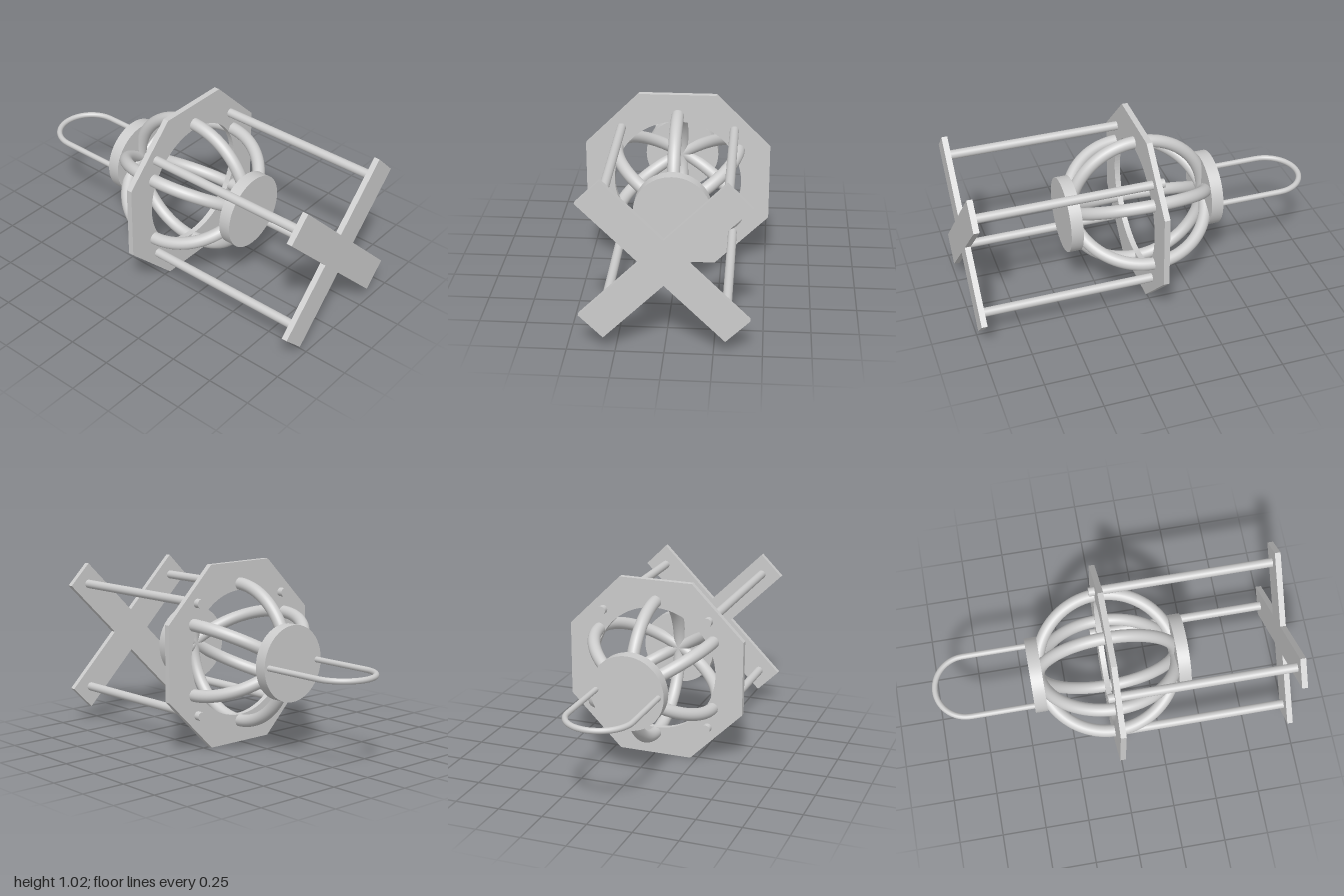
import * as THREE from 'three';

export function createModel() {
  const root = new THREE.Group();
  root.position.y = 0.512;
  const model = new THREE.Group();
  model.add(root);
  const mat = new THREE.MeshStandardMaterial({ color: 0xcccccc });
  const MID = -0.01; // z of the cage centre

  const add = (name, geometry, x = 0, y = 0, z = 0) => {
    const mesh = new THREE.Mesh(geometry, mat);
    mesh.name = name;
    mesh.position.set(x, y, z);
    root.add(mesh);
    return mesh;
  };
  // cylinder lying along z between two depths
  const cylinderZ = (name, r, z0, z1, x = 0, y = 0) =>
    add(name, new THREE.CylinderGeometry(r, r, z1 - z0, 48).rotateX(Math.PI / 2), x, y, (z0 + z1) / 2);
  const extrude = (shape, depth) =>
    new THREE.ExtrudeGeometry(shape, { depth, bevelEnabled: false, curveSegments: 48 });

  // octagonal plate with a round opening
  const octagon = [];
  for (let i = 0; i < 8; i++) {
    const a = (i + 0.5) * Math.PI / 4, r = 0.512 / Math.cos(Math.PI / 8);
    octagon.push(new THREE.Vector2(r * Math.cos(a), r * Math.sin(a)));
  }
  const plate = new THREE.Shape(octagon);
  plate.holes.push(new THREE.Path().absarc(0, 0, 0.355, 0, Math.PI * 2, true));
  add('octagonPlate', extrude(plate, 0.032), 0, 0, MID - 0.016);

  // cage: three full rings make six ribs, closed by a disc at each end
  for (let i = 0; i < 3; i++) {
    const ring = new THREE.TorusGeometry(0.39, 0.035, 24, 96).rotateY(Math.PI / 2);
    add('cageRing', ring.rotateZ(i * Math.PI / 3), 0, 0, MID);
  }
  cylinderZ('frontCap', 0.211, MID + 0.372, MID + 0.44);
  cylinderZ('backCap', 0.211, MID - 0.44, MID - 0.372);

  // diagonal cross in front
  const w = 0.088, l = 0.527;
  const cross = new THREE.Shape([
    [w, w], [w, l], [-w, l], [-w, w], [-l, w], [-l, -w],
    [-w, -w], [-w, -l], [w, -l], [w, -w], [l, -w], [l, w],
  ].map(([x, y]) => new THREE.Vector2(x, y)));
  add('frontCross', extrude(cross, 0.032), 0, 0, 0.968).rotation.z = Math.PI / 4;

  // four rods joining the cross to the plate
  for (const x of [-0.312, 0.312])
    for (const y of [-0.312, 0.312]) cylinderZ('rod', 0.025, -0.06, 0.99, x, y);

  // U-shaped handle at the back
  const R = 0.179, bend = -0.805, start = -0.43;
  const path = new THREE.CurvePath();
  const arc = [];
  for (let i = 0; i <= 16; i++) {
    const a = i * Math.PI / 16;
    arc.push(new THREE.Vector3(R * Math.cos(a), 0, bend - R * Math.sin(a)));
  }
  path.add(new THREE.LineCurve3(new THREE.Vector3(R, 0, start), arc[0]));
  path.add(new THREE.CatmullRomCurve3(arc));
  path.add(new THREE.LineCurve3(arc[16], new THREE.Vector3(-R, 0, start)));
  add('handle', new THREE.TubeGeometry(path, 120, 0.016, 16));

  return model;
}
